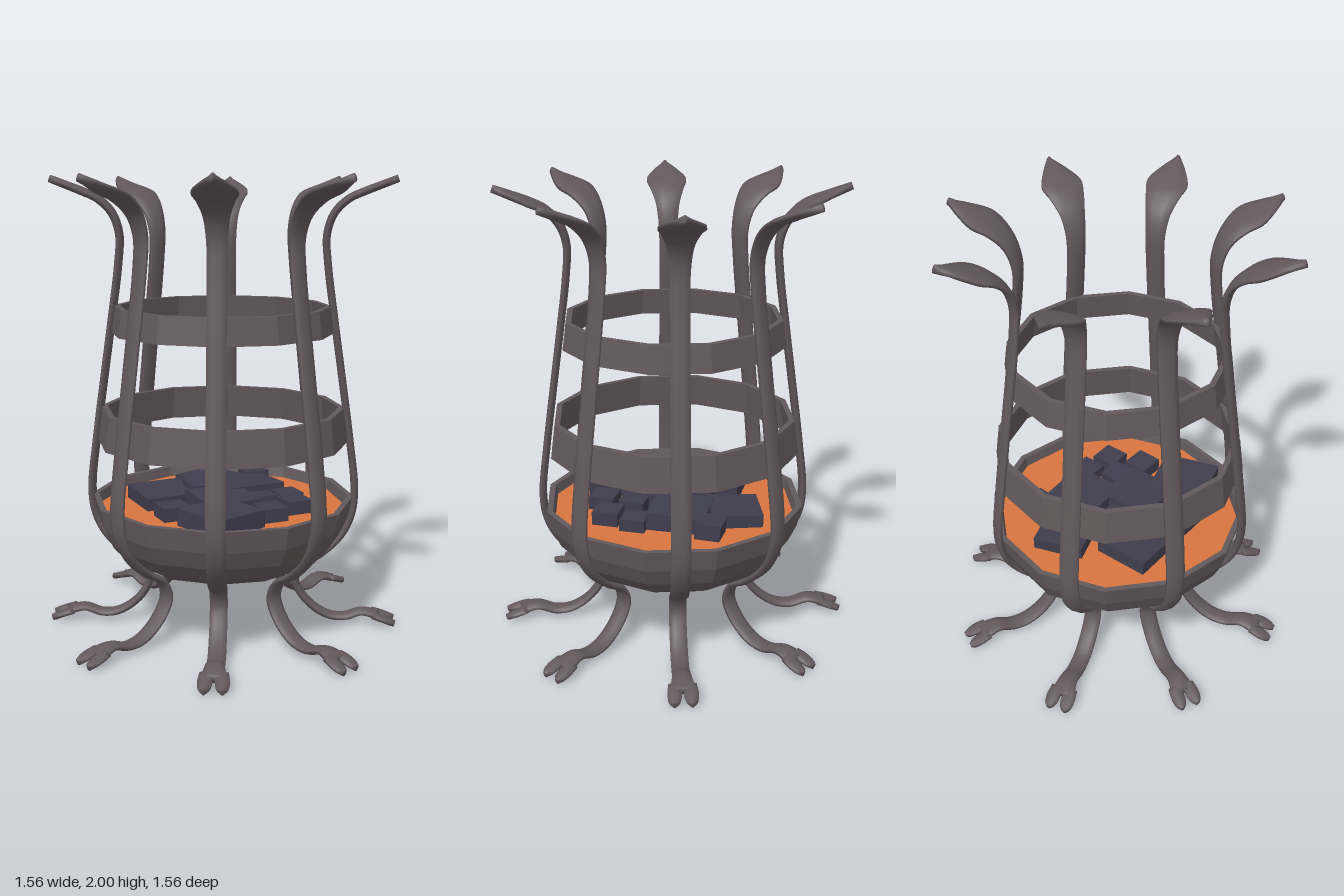
import * as THREE from 'three';

const iron = new THREE.MeshStandardMaterial({ color: 0x62585b });
const ironFlat = new THREE.MeshStandardMaterial({ color: 0x62585b, flatShading: true });
const ember = new THREE.MeshStandardMaterial({ color: 0xd9753f });
const coalMat = new THREE.MeshStandardMaterial({ color: 0x3f3d4d, flatShading: true });

function mesh(name, geometry, material) {
  const m = new THREE.Mesh(geometry, material);
  m.name = name;
  return m;
}

// Bar swept along a path in the y-z plane; path entries are [z, y, halfWidth]
function sweptBar(path, steps, halfThick) {
  const curve = new THREE.CatmullRomCurve3(path.map(([z, y, w]) => new THREE.Vector3(w, y, z)));
  const sides = 8, pos = [], idx = [];
  for (let i = 0; i <= steps; i++) {
    const p = curve.getPoint(i / steps), t = curve.getTangent(i / steps);
    const l = Math.hypot(t.y, t.z);
    for (let j = 0; j < sides; j++) {
      const a = (j + 0.5) / sides * Math.PI * 2;
      const u = Math.cos(a) * p.x * 1.08, v = Math.sin(a) * halfThick * 1.08;
      pos.push(u, p.y + v * t.z / l, p.z - v * t.y / l);
    }
  }
  for (let i = 0; i < steps; i++) for (let j = 0; j < sides; j++) {
    const k = (j + 1) % sides;
    const a = i * sides + j, b = i * sides + k, c = b + sides, d = a + sides;
    idx.push(a, b, c, a, c, d);
  }
  // end caps
  const last = steps * sides;
  for (let j = 1; j < sides - 1; j++) {
    idx.push(0, j + 1, j, last, last + j, last + j + 1);
  }
  const g = new THREE.BufferGeometry();
  g.setAttribute('position', new THREE.Float32BufferAttribute(pos, 3));
  g.setIndex(idx);
  g.computeVertexNormals();
  return g;
}

// Twelve-sided turned part; profile entries are [radius, y]
function turned(profile) {
  return new THREE.LatheGeometry(profile.map(p => new THREE.Vector2(...p)), 12, Math.PI / 12);
}

export function createModel() {
  const root = new THREE.Group();
  root.name = 'fireBasket';

  // Eight bars with forked feet and flared leaf tips
  const bar = sweptBar([
    [0.71, 0.04, 0.055], [0.63, 0.058, 0.04], [0.55, 0.034, 0.038], [0.47, 0.045, 0.038],
    [0.38, 0.11, 0.038], [0.33, 0.2, 0.038], [0.355, 0.275, 0.038], [0.44, 0.33, 0.04],
    [0.53, 0.42, 0.04], [0.575, 0.52, 0.041], [0.586, 0.63, 0.041], [0.56, 0.86, 0.041],
    [0.52, 1.14, 0.04], [0.482, 1.4, 0.04], [0.452, 1.62, 0.04], [0.445, 1.75, 0.043],
    [0.475, 1.84, 0.054], [0.535, 1.9, 0.076], [0.595, 1.928, 0.09],
    [0.67, 1.957, 0.056], [0.742, 1.984, 0.008],
  ], 90, 0.016);
  const toe = sweptBar([[0.68, 0.05, 0.026], [0.73, 0.034, 0.03], [0.765, 0.02, 0.021], [0.778, 0.016, 0.008]], 8, 0.014);
  for (let i = 0; i < 8; i++) {
    const leg = new THREE.Group();
    leg.name = 'upright' + (i + 1);
    leg.add(mesh('bar', bar, iron));
    for (const s of [-1, 1]) {
      const t = mesh(s > 0 ? 'leftToe' : 'rightToe', toe, iron);
      t.rotation.y = s * 0.048;
      leg.add(t);
    }
    leg.rotation.y = i * Math.PI / 4;
    root.add(leg);
  }

  // Bowl with a thin rim
  root.add(mesh('bowl', turned([
    [0, 0.285], [0.3, 0.288], [0.39, 0.315], [0.465, 0.36], [0.525, 0.425], [0.562, 0.505], [0.582, 0.6],
    [0.556, 0.6], [0.54, 0.52], [0.5, 0.44], [0, 0.4],
  ]), ironFlat));

  // Hoops: [bottom y, bottom radius, top y, top radius]
  [[0.85, 0.555, 1.0, 0.535], [1.33, 0.488, 1.445, 0.472]].forEach(([y0, r0, y1, r1], i) => {
    const t = 0.025;
    root.add(mesh(i ? 'upperHoop' : 'lowerHoop',
      turned([[r0 - t, y0], [r0, y0], [r1, y1], [r1 - t, y1], [r0 - t, y0]]), ironFlat));
  });

  // Glowing bed
  const bed = mesh('emberBed', new THREE.CylinderGeometry(0.548, 0.53, 0.04, 12, 1, false, Math.PI / 12), ember);
  bed.position.y = 0.535;
  root.add(bed);

  // Coals: [x, z, size, height, top y, turn, tilt]
  const coals = [
    [-0.26, -0.15, 0.225, 0.1, 0.615, 0.03, 0.03], [-0.02, -0.17, 0.25, 0.1, 0.63, -0.28, 0.05],
    [-0.21, 0.17, 0.25, 0.1, 0.615, -0.3, -0.04], [0.08, 0.07, 0.25, 0.1, 0.63, -0.28, -0.04],
    [0.25, 0.235, 0.26, 0.1, 0.63, 0, 0],
    [-0.14, -0.325, 0.11, 0.1, 0.63, -0.35, 0.1], [0.18, -0.225, 0.11, 0.1, 0.61, -0.3, 0],
    [0.295, -0.155, 0.115, 0.1, 0.615, -0.3, 0], [0.31, 0.005, 0.115, 0.1, 0.615, -0.33, 0],
    [0.18, -0.07, 0.11, 0.1, 0.625, -0.35, 0.06], [-0.13, 0.03, 0.115, 0.1, 0.64, -0.3, -0.12],
    [0.015, 0.305, 0.12, 0.1, 0.615, -0.3, 0],
  ];
  coals.forEach(([x, z, s, h, top, turn, tilt], i) => {
    const c = mesh('coal' + (i + 1), new THREE.BoxGeometry(s, h, s), coalMat);
    c.position.set(x, top - h / 2, z);
    c.rotation.set(0, turn, tilt);
    root.add(c);
  });
  return root;
}
